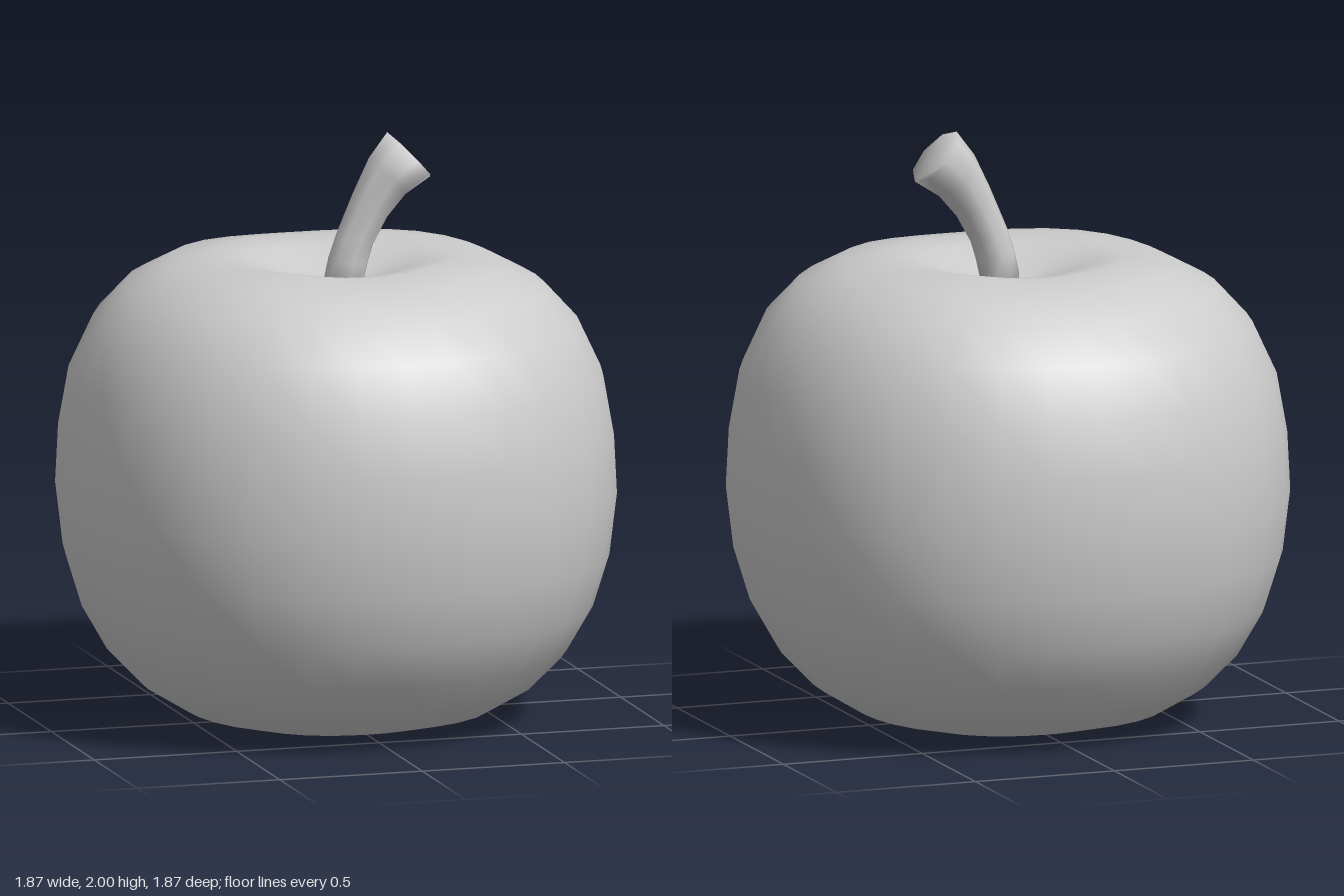
import * as THREE from 'three';
import { mergeVertices } from 'three/addons/utils/BufferGeometryUtils.js';

const material = new THREE.MeshStandardMaterial({ color: 0xcccccc, roughness: 0.8 });

// Apple flesh: lathed profile with dimples at both ends, made slightly square in plan
function createBody() {
  const profile = [
    [0, 0.09], [0.1, 0.08], [0.2, 0.045], [0.28, 0.015], [0.36, 0], [0.52, 0.04], [0.66, 0.125],
    [0.77, 0.24], [0.855, 0.39], [0.91, 0.57], [0.935, 0.78], [0.925, 0.98], [0.89, 1.18],
    [0.81, 1.35], [0.7, 1.47], [0.56, 1.545], [0.39, 1.572], [0.29, 1.555], [0.2, 1.525],
    [0.1, 1.495], [0, 1.485],
  ].map(([r, y]) => new THREE.Vector2(r, y));
  let geometry = new THREE.LatheGeometry(profile, 32);
  const pos = geometry.attributes.position;
  for (let i = 0; i < pos.count; i++) {
    const x = pos.getX(i), y = pos.getY(i), z = pos.getZ(i);
    const diagonal = Math.sin(2 * Math.atan2(z, x)) ** 2;
    const r = Math.hypot(x, z);
    const s = 1 + 0.03 * diagonal;
    // the upper rim rises a touch on the diagonals
    const lift = y > 1.3 ? 0.01 * diagonal * Math.min(1, r / 0.3) : 0;
    pos.setXYZ(i, x * s, y + lift, z * s);
  }
  // weld the seam and poles for smooth shading
  geometry.deleteAttribute('uv');
  geometry.deleteAttribute('normal');
  geometry = mergeVertices(geometry, 1e-4);
  geometry.computeVertexNormals();
  const body = new THREE.Mesh(geometry, material);
  body.name = 'appleBody';
  return body;
}

// Stem: eight-sided rings along a bend, flaring to a slanted end
function createStem() {
  const sides = 8, z0 = 0.065;
  // centre x, centre y, radius, tilt from vertical
  const rings = [
    [0, 1.47, 0.07, 0.1], [0.022, 1.57, 0.07, 0.2], [0.045, 1.64, 0.068, 0.3],
    [0.1, 1.755, 0.075, 0.64], [0.16, 1.85, 0.092, 0.8], [0.235, 1.92, 0.11, 0.82],
  ];
  const points = [], index = [];
  for (const [cx, cy, r, tilt] of rings) {
    for (let j = 0; j < sides; j++) {
      const a = (j / sides) * Math.PI * 2;
      const u = r * Math.cos(a);
      points.push(cx + u * Math.cos(tilt), cy - u * Math.sin(tilt), z0 + r * Math.sin(a));
    }
  }
  for (let i = 0; i < rings.length - 1; i++) {
    for (let j = 0; j < sides; j++) {
      const a = i * sides + j, b = i * sides + (j + 1) % sides;
      index.push(a, a + sides, b, b, a + sides, b + sides);
    }
  }
  // end caps share the rim vertices
  const last = (rings.length - 1) * sides;
  for (let j = 1; j < sides - 1; j++) {
    index.push(0, j, j + 1);
    index.push(last, last + j + 1, last + j);
  }
  const geometry = new THREE.BufferGeometry();
  geometry.setAttribute('position', new THREE.Float32BufferAttribute(points, 3));
  geometry.setIndex(index);
  geometry.computeVertexNormals();
  const stem = new THREE.Mesh(geometry, material);
  stem.name = 'stem';
  return stem;
}

export function createModel() {
  const apple = new THREE.Group();
  apple.name = 'apple';
  apple.add(createBody(), createStem());
  return apple;
}
